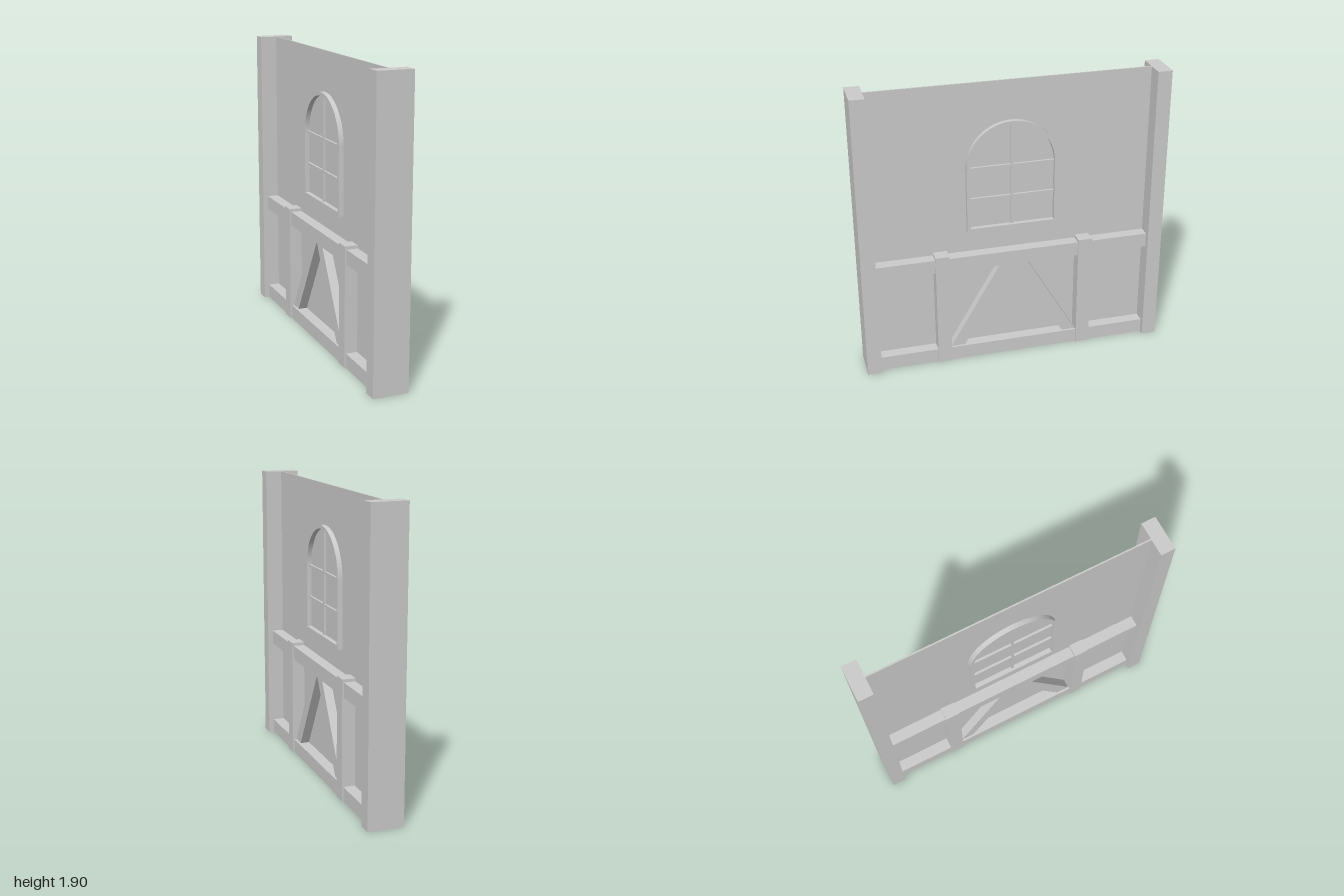
import * as THREE from 'three';
import { toCreasedNormals } from 'three/addons/utils/BufferGeometryUtils.js';

const material = new THREE.MeshStandardMaterial({ color: 0xcccccc });

export function createModel() {
  const root = new THREE.Group();
  root.name = 'timberWall';

  const add = (name, geometry, parent = root) => {
    const mesh = new THREE.Mesh(geometry, material);
    mesh.name = name;
    parent.add(mesh);
    return mesh;
  };

  // Box centred on the wall plane, given half thickness and z / y ranges
  const beam = (name, half, z0, z1, y0, y1, parent) => {
    const geometry = new THREE.BoxGeometry(half * 2, y1 - y0, z1 - z0);
    add(name, geometry.translate(0, (y0 + y1) / 2, (z0 + z1) / 2), parent);
  };

  // Outline in (z, y), extruded through the wall thickness
  const slab = (name, shape, half, parent) => {
    const geometry = new THREE.ExtrudeGeometry(shape, {
      depth: half * 2, bevelEnabled: false, curveSegments: 32,
    });
    geometry.translate(0, 0, -half).rotateY(-Math.PI / 2);
    add(name, toCreasedNormals(geometry, 0.5), parent);
  };

  // Thin wall panel and horizontal rails
  beam('wallPanel', 0.005, -0.91, 0.91, 0, 1.905);
  beam('bottomRail', 0.08, -0.91, 0.91, 0, 0.095);
  beam('middleRail', 0.08, -0.91, 0.91, 0.67, 0.765);

  // Mirrored end posts, short posts and diagonal braces
  for (const s of [-1, 1]) {
    const side = s > 0 ? 'front' : 'back';
    const range = (a, b) => (s > 0 ? [a, b] : [-b, -a]);
    beam(side + 'EndPost', 0.115, ...range(0.906, 1), 0, 1.905);
    beam(side + 'ShortPost', 0.09, ...range(0.43, 0.522), 0, 0.785);
    const corners = [[0.428, 0.095], [0.337, 0.095], [0, 0.67], [0.092, 0.67]];
    const outline = corners.map(([z, y]) => new THREE.Vector2(s * z, y));
    slab(side + 'Brace', new THREE.Shape(outline), 0.065);
  }

  // Arched window: frame and glazing bars, standing proud on both faces
  const arch = (path, r, bottom) => {
    path.moveTo(-r, bottom);
    path.lineTo(r, bottom);
    path.lineTo(r, 1.347);
    path.absarc(0, 1.347, r, 0, Math.PI, false);
    path.closePath();
    return path;
  };
  const windowGroup = new THREE.Group();
  windowGroup.name = 'archedWindow';
  root.add(windowGroup);
  const frame = arch(new THREE.Shape(), 0.298, 0.908);
  frame.holes.push(arch(new THREE.Path(), 0.275, 0.935));
  slab('windowFrame', frame, 0.036, windowGroup);
  beam('verticalBar', 0.02, -0.008, 0.008, 0.93, 1.627, windowGroup);
  for (const y of [1.133, 1.344]) {
    beam('horizontalBar', 0.02, -0.28, 0.28, y - 0.007, y + 0.007, windowGroup);
  }

  return root;
}
